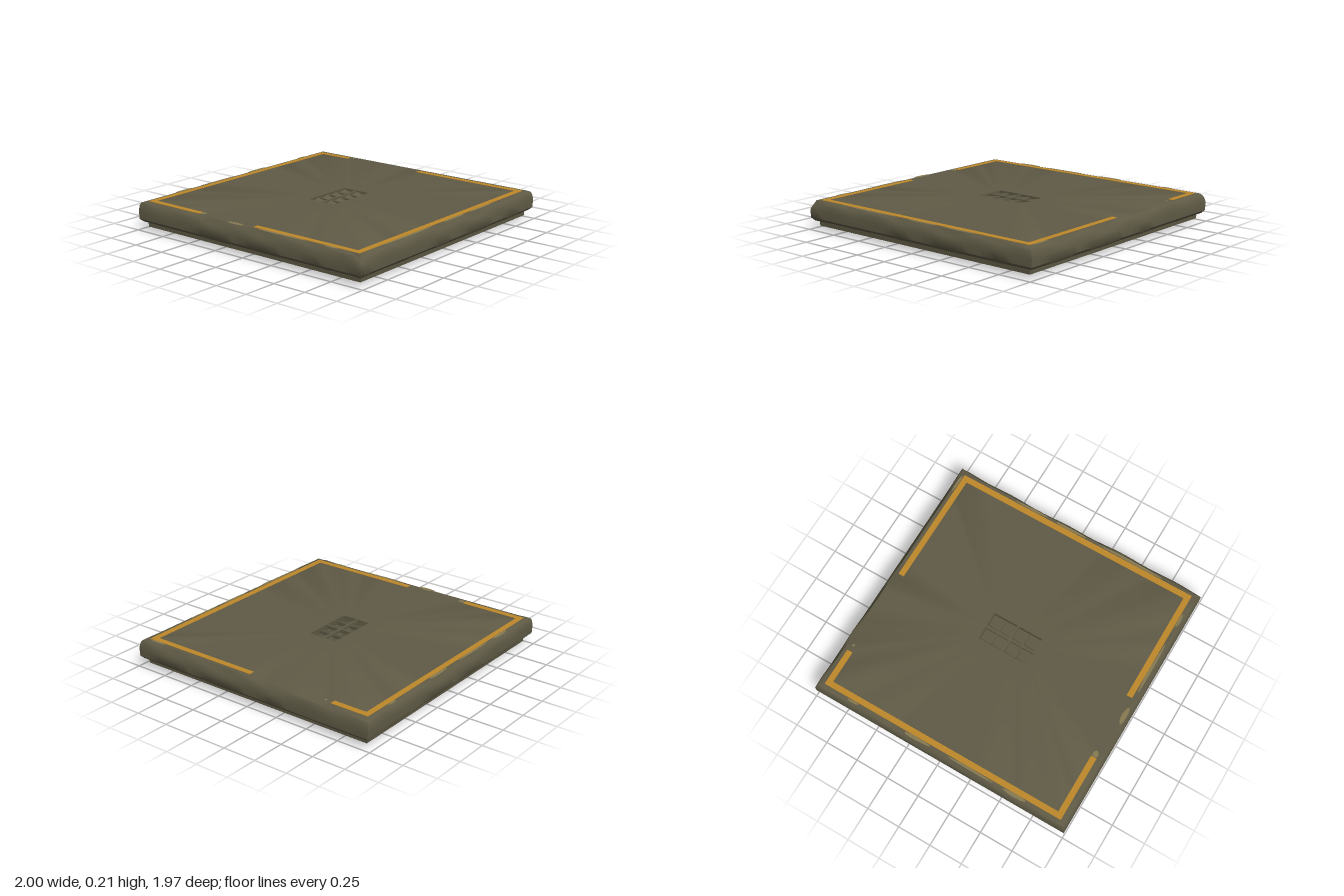
import * as THREE from 'three';
import { toCreasedNormals } from 'three/addons/utils/BufferGeometryUtils.js';

const olive = new THREE.MeshStandardMaterial({ color: 0x605b46 });
olive.name = 'olive';
const orange = new THREE.MeshStandardMaterial({ color: 0xbd8829 });
orange.name = 'orange paint';
const worn = new THREE.MeshStandardMaterial({ color: 0x877a52 });
worn.name = 'worn edge';

// Closed rectangular ring surface. Each row: half width x, half depth z, y, wear amount.
function ringGeometry(rows, perSide) {
  const corners = [[-1, 1], [1, 1], [1, -1], [-1, -1]];
  const n = perSide * 4, pos = [], index = [];
  rows.forEach(([hx, hz, y, wear = 0]) => {
    for (let j = 0; j < n; j++) {
      const s = Math.floor(j / perSide), t = (j % perSide) / perSide;
      const [ax, az] = corners[s], [bx, bz] = corners[(s + 1) % 4];
      const x = ax + (bx - ax) * t, z = az + (bz - az) * t;
      const w = wear * (0.5 + 0.5 * Math.sin(9 * x + 5 * z + s) * Math.cos(5 * x - 8 * z));
      pos.push(x * (hx - w * 0.4), y - w, z * (hz - w * 0.4));
    }
  });
  for (let i = 0; i < rows.length; i++) {
    const p = i * n, q = ((i + 1) % rows.length) * n;
    for (let j = 0; j < n; j++) {
      const k = (j + 1) % n;
      index.push(p + j, q + j, q + k, p + j, q + k, p + k);
    }
  }
  const g = new THREE.BufferGeometry();
  g.setAttribute('position', new THREE.Float32BufferAttribute(pos, 3));
  g.setIndex(index);
  return toCreasedNormals(g, 0.7);
}

export function createModel() {
  const model = new THREE.Group();
  const add = (name, geometry, material, x = 0, y = 0, z = 0) => {
    const mesh = new THREE.Mesh(geometry, material);
    mesh.name = name;
    mesh.position.set(x, y, z);
    model.add(mesh);
    return mesh;
  };

  // Thick slab with worn shoulders, stepped base and a vent opening
  add('slab', ringGeometry([
    [0.195, 0.11, 0.213],
    [0.965, 0.955, 0.213],
    [0.985, 0.972, 0.208, 0.02],
    [0.993, 0.981, 0.19, 0.018],
    [1, 0.985, 0.15],
    [0.998, 0.983, 0.09],
    [0.98, 0.965, 0.072, 0.006],
    [0.952, 0.945, 0.068],
    [0.95, 0.942, 0.03],
    [0.18, 0.12, 0.03],
  ], 28), olive);

  // Raised frame around the vent underneath
  add('ventFrame', ringGeometry([
    [0.18, 0.12, 0.035],
    [0.25, 0.2, 0.035],
    [0.25, 0.2, 0.022],
    [0.215, 0.165, 0.006],
    [0.18, 0.12, 0.006],
  ], 4), olive);

  // Vent filling with cross bars and tilted slats on both sides
  add('ventCore', new THREE.BoxGeometry(0.4, 0.1, 0.25), olive, 0, 0.115, 0);
  const bar = (w, d, x, y, z) => add('ventBar', new THREE.BoxGeometry(w, 0.025, d), olive, x, y, z);
  const slat = (w, d, x, y, z, tilt, roll) => {
    add('ventSlat', new THREE.BoxGeometry(w, 0.02, d), olive, x, y, z).rotation.set(tilt, 0, roll);
  };
  bar(0.39, 0.018, 0, 0.197, -0.005);
  bar(0.016, 0.22, 0, 0.197, 0);
  for (const x of [-0.098, 0.098]) bar(0.008, 0.2, x, 0.193, 0);
  for (let c = 0; c < 4; c++) {
    for (const z of [-0.06, 0.055]) slat(0.08, 0.085, (c - 1.5) * 0.097, 0.18, z, 0.25, 0.2);
  }
  for (const s of [-1, 1]) {
    bar(0.014, 0.24, s * 0.06, 0.025, 0);
    bar(0.36, 0.014, 0, 0.025, s * 0.04);
  }
  for (let c = -1; c <= 1; c++) {
    for (let r = -1; r <= 1; r++) slat(0.1, 0.06, c * 0.12, 0.05, r * 0.08, 0.25, 0.12);
  }

  // Painted border lines: x0, x1, z0, z1
  const lines = [
    [-0.945, 0.94, -0.94, -0.898],
    [-0.945, 0.94, 0.887, 0.932],
    [-0.945, -0.902, -0.898, -0.45],
    [-0.945, -0.902, 0.05, 0.887],
    [0.897, 0.94, -0.898, -0.65],
    [0.897, 0.94, 0.02, 0.887],
  ];
  for (const [x0, x1, z0, z1] of lines) {
    add('borderLine', new THREE.BoxGeometry(x1 - x0, 0.004, z1 - z0), orange,
      (x0 + x1) / 2, 0.213, (z0 + z1) / 2);
  }

  // Irregular scuffed patches: x, z, width, depth
  const patches = [
    [-0.96, -0.09, 0.04, 0.13], [-0.925, -0.425, 0.04, 0.05], [0.92, -0.6, 0.02, 0.02],
    [-0.59, -0.953, 0.2, 0.026], [-0.25, -0.951, 0.34, 0.018], [0.18, -0.953, 0.2, 0.026],
    [0.7, -0.951, 0.1, 0.016], [-0.45, 0.944, 0.5, 0.02], [0.05, 0.944, 0.24, 0.022],
    [0.38, 0.944, 0.3, 0.016], [-0.957, 0.3, 0.022, 0.4], [-0.957, 0.72, 0.02, 0.12],
    [0.952, 0.85, 0.02, 0.14],
  ];
  patches.forEach(([x, z, w, d], i) => {
    const shape = new THREE.Shape();
    for (let k = 0; k < 12; k++) {
      const a = (k / 12) * Math.PI * 2, r = 0.5 + 0.06 * Math.sin(k * 5 + i * 2);
      shape.lineTo(Math.cos(a) * r * w, Math.sin(a) * r * d);
      if (k === 0) shape.curves.length = 0;
    }
    const geometry = new THREE.ShapeGeometry(shape).rotateX(-Math.PI / 2);
    add('wornPatch', geometry, worn, x, 0.2155, z);
  });
  return model;
}
